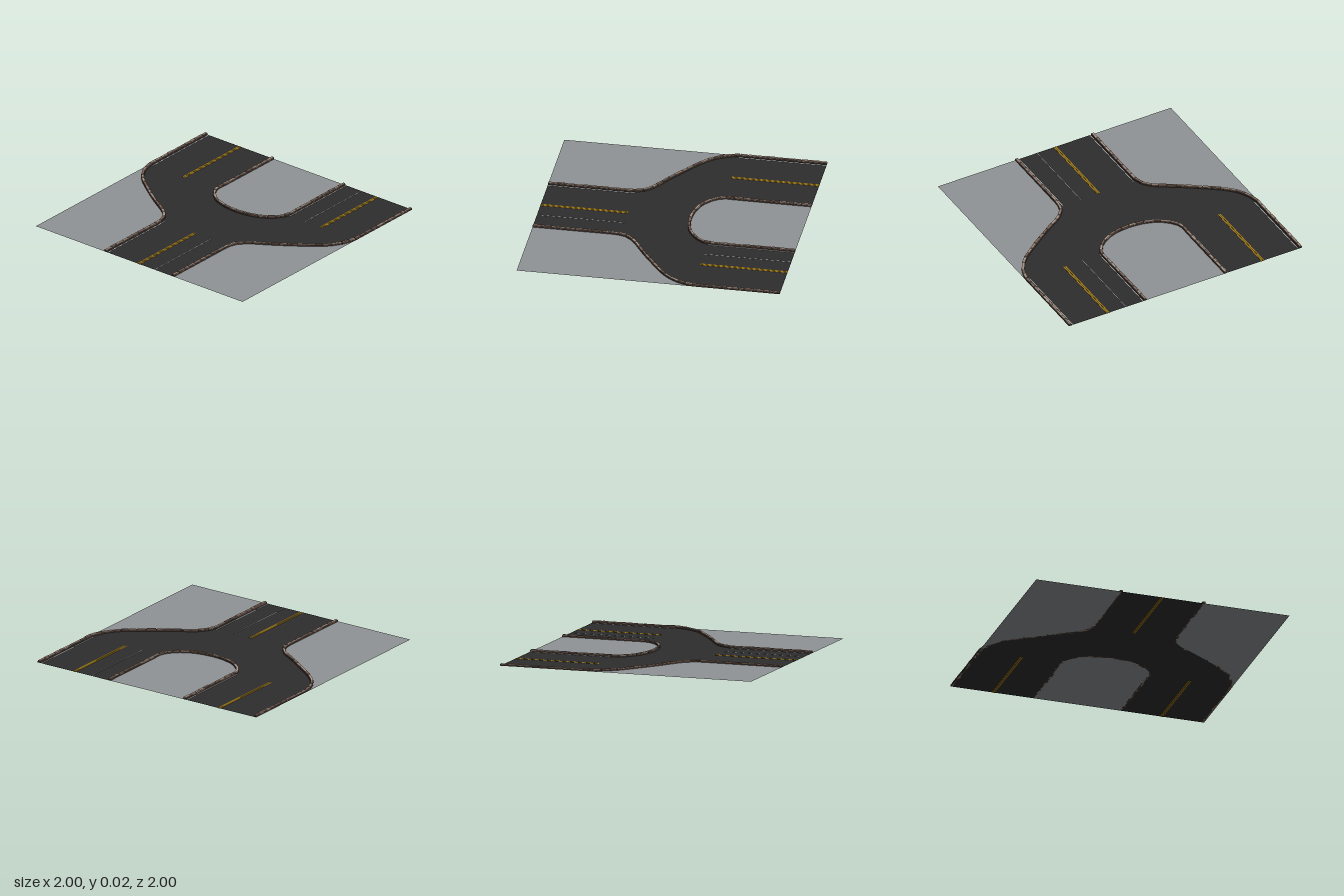
import * as THREE from 'three';

const mat = (name, color, side = THREE.FrontSide) => {
  const m = new THREE.MeshStandardMaterial({ color, side });
  m.name = name;
  return m;
};

export function createModel() {
  const model = new THREE.Group();
  model.name = 'roadFork';
  const asphalt = mat('asphalt', 0x2d2d2d, THREE.DoubleSide);
  const pavement = mat('pavement', 0x909496, THREE.DoubleSide);
  const yellow = mat('yellowPaint', 0xa37a10);
  const white = mat('whitePaint', 0xb4b6b6);
  const mortar = mat('mortar', 0x44362f);
  const stones = [mat('lightStone', 0xaa9486), mat('midStone', 0x957d70), mat('darkStone', 0x7a6459)];
  const GROUND = 0.002;

  // Seeded generator for small stone variations
  let seed = 7;
  const rand = () => (seed = (seed * 16807) % 2147483647) / 2147483647;

  // Kerb lines as [x, z], running from back to front on the outer sides
  const outer = [[-0.99, -1], [-0.99, -0.7], [-0.99, -0.45], [-0.988, -0.32], [-0.95, -0.21], [-0.88, -0.115],
    [-0.72, 0.01], [-0.56, 0.12], [-0.41, 0.215], [-0.352, 0.275], [-0.328, 0.35], [-0.326, 0.45], [-0.326, 0.7], [-0.326, 1]];
  const inner = [[-0.345, -1], [-0.345, -0.7], [-0.345, -0.45], [-0.342, -0.32], [-0.285, -0.237], [-0.18, -0.17],
    [0, -0.14], [0.18, -0.17], [0.285, -0.237], [0.342, -0.32], [0.345, -0.45], [0.345, -0.7], [0.345, -1]];
  const curve = pts => new THREE.CatmullRomCurve3(pts.map(([x, z]) => new THREE.Vector3(x, 0, z)));
  const leftKerb = curve(outer);
  const rightKerb = curve(outer.map(([x, z]) => [-x, z]));
  const innerKerb = curve(inner);

  // Flat ground pieces sharing the kerb lines
  const outline = c => c.getSpacedPoints(90).map(p => new THREE.Vector2(p.x, -p.z));
  const flat = (name, points, material) => {
    const geo = new THREE.ShapeGeometry(new THREE.Shape(points));
    geo.rotateX(-Math.PI / 2);
    const mesh = new THREE.Mesh(geo, material);
    mesh.name = name;
    mesh.position.y = GROUND;
    model.add(mesh);
  };
  const left = outline(leftKerb), right = outline(rightKerb), mid = outline(innerKerb);
  flat('road', [...left, ...[...right].reverse(), ...[...mid].reverse()], asphalt);
  flat('leftOuterPavement', [...right, new THREE.Vector2(1, -1), new THREE.Vector2(1, 1)], pavement);
  flat('rightOuterPavement', [...left, new THREE.Vector2(-1, -1), new THREE.Vector2(-1, 1)], pavement);
  flat('middlePavement', mid, pavement);

  // A box laid along a kerb between two fractions of its length
  const block = (group, c, t0, t1, width, height, gap, material, name) => {
    const a = c.getPointAt(t0), b = c.getPointAt(t1);
    const mesh = new THREE.Mesh(new THREE.BoxGeometry(width, height, a.distanceTo(b) - gap), material);
    mesh.position.copy(a).add(b).multiplyScalar(0.5);
    mesh.position.y = GROUND + height / 2;
    mesh.rotation.y = Math.atan2(b.x - a.x, b.z - a.z);
    mesh.name = name;
    group.add(mesh);
  };

  // Kerb: mortar bed with uneven stones on it
  const kerb = (name, c) => {
    const group = new THREE.Group();
    group.name = name;
    const n = Math.round(c.getLength() / 0.065);
    const cuts = Array.from({ length: n + 1 }, (_, i) => (i + (i % n ? (rand() - 0.5) * 0.4 : 0)) / n);
    for (let i = 0; i < n; i++) {
      block(group, c, cuts[i], cuts[i + 1], 0.022, 0.011, 0, mortar, 'kerbBed');
      block(group, c, cuts[i], cuts[i + 1], 0.016 + rand() * 0.005, 0.015 + rand() * 0.003, 0.005,
        stones[Math.floor(rand() * 3)], 'kerbStone');
    }
    model.add(group);
  };
  kerb('rightKerb', leftKerb);
  kerb('leftKerb', rightKerb);
  kerb('middleKerb', innerKerb);

  // Painted lines along z; yellow goes right through the road sheet
  const line = (name, x, z0, z1, width, bottom, material) => {
    const mesh = new THREE.Mesh(new THREE.BoxGeometry(width, 0.0035 - bottom, z1 - z0), material);
    mesh.position.set(x, (0.0035 + bottom) / 2, (z0 + z1) / 2);
    mesh.name = name;
    model.add(mesh);
  };
  for (const [x, z0, z1] of [[-0.664, -1, -0.335], [0.664, -1, -0.335], [-0.005, 0.335, 1]]) {
    for (const s of [-1, 1]) line('centreLine', x + s * 0.007, z0, z1, 0.01, 0, yellow);
  }
  for (const s of [-1, 1]) {
    line('edgeLine', s * 0.967, -1, -0.335, 0.006, 0.0021, white);
    line('edgeLine', s * 0.363, -1, -0.335, 0.006, 0.0021, white);
    line('edgeLine', s * 0.304, 0.335, 1, 0.006, 0.0021, white);
  }
  line('laneLine', 0.51, -1, -0.335, 0.003, 0.0021, white);
  line('laneLine', 0.15, 0.335, 1, 0.003, 0.0021, white);

  return model;
}
